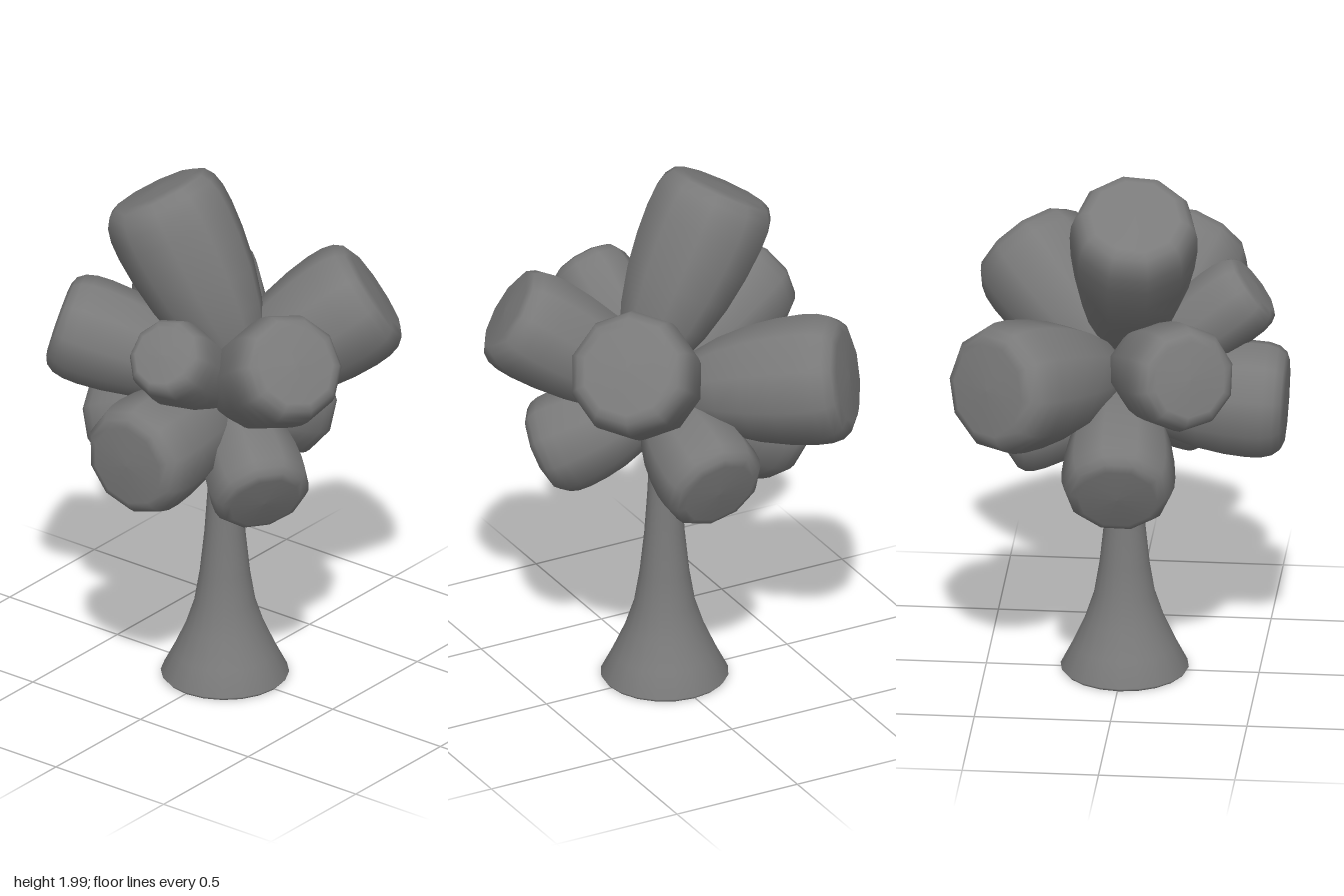
import * as THREE from 'three';

const material = new THREE.MeshStandardMaterial({ color: 0x7a7a7a });

// Smooth turned solid from [radius, height] pairs, listed bottom to top
function turned(name, profile, sides) {
  const points = profile.map(([r, y]) => new THREE.Vector2(r, y));
  const mesh = new THREE.Mesh(new THREE.LatheGeometry(points, sides), material);
  mesh.name = name;
  return mesh;
}

// Club-shaped lobe: narrow at the root, swelling to a softly rounded flat end
function lobe(name, start, end, radius) {
  const root = new THREE.Vector3(...start);
  const axis = new THREE.Vector3(...end).sub(root);
  const length = axis.length();
  const profile = [
    [0, 0], [0.32, 0.02], [0.55, 0.14], [0.75, 0.3], [0.89, 0.47],
    [0.97, 0.64], [1, 0.78], [0.99, 0.87], [0.94, 0.935], [0.84, 0.98], [0.7, 1], [0, 1.01],
  ].map(([r, t]) => [r * radius, t * length]);
  const mesh = turned(name, profile, 10);
  mesh.position.copy(root);
  mesh.quaternion.setFromUnitVectors(new THREE.Vector3(0, 1, 0), axis.normalize());
  return mesh;
}

export function createModel() {
  const group = new THREE.Group();
  group.name = 'tree';

  // Flared trunk with a flat underside
  const trunk = turned('trunk', [
    [0.225, 0], [0.235, 0.012], [0.19, 0.1], [0.145, 0.2], [0.112, 0.3], [0.092, 0.42],
    [0.075, 0.58], [0.064, 0.74], [0.056, 0.9], [0.05, 1.2],
  ], 20);
  const base = new THREE.Mesh(new THREE.CircleGeometry(0.225, 20), material);
  base.name = 'trunkBase';
  base.rotation.x = Math.PI / 2;
  trunk.add(base);
  trunk.position.set(0.005, 0, 0.007);
  group.add(trunk);

  // Foliage lobes: name, root, centre of the end, largest radius
  const lobes = [
    ['topLobe', [0.11, 1.25, 0.01], [-0.27, 1.91, 0.07], 0.235],
    ['backRightLobe', [0, 1.18, -0.03], [-0.51, 1.3, -0.45], 0.245],
    ['backLeftLobe', [0, 1.16, 0], [0.385, 1.52, -0.4], 0.235],
    ['upperLeftLobe', [0.01, 1.14, 0], [0.53, 1.505, 0.255], 0.21],
    ['upperFrontLobe', [0.02, 1.13, 0], [0.085, 1.5, 0.48], 0.158],
    ['frontLobe', [0.01, 1.1, 0], [0.016, 1.075, 0.6], 0.22],
    ['upperRightLobe', [0, 1.21, 0.02], [-0.54, 1.385, 0.295], 0.2],
    ['lowerRightLobe', [0.01, 1.11, 0], [-0.505, 0.885, 0.025], 0.208],
    ['lowerLeftLobe', [0.01, 1.13, 0], [0.38, 0.9, 0.25], 0.19],
    ['lowerBackLobe', [0.01, 1.11, 0.04], [0.015, 0.94, -0.43], 0.198],
  ];
  for (const [name, start, end, radius] of lobes) group.add(lobe(name, start, end, radius));

  return group;
}
